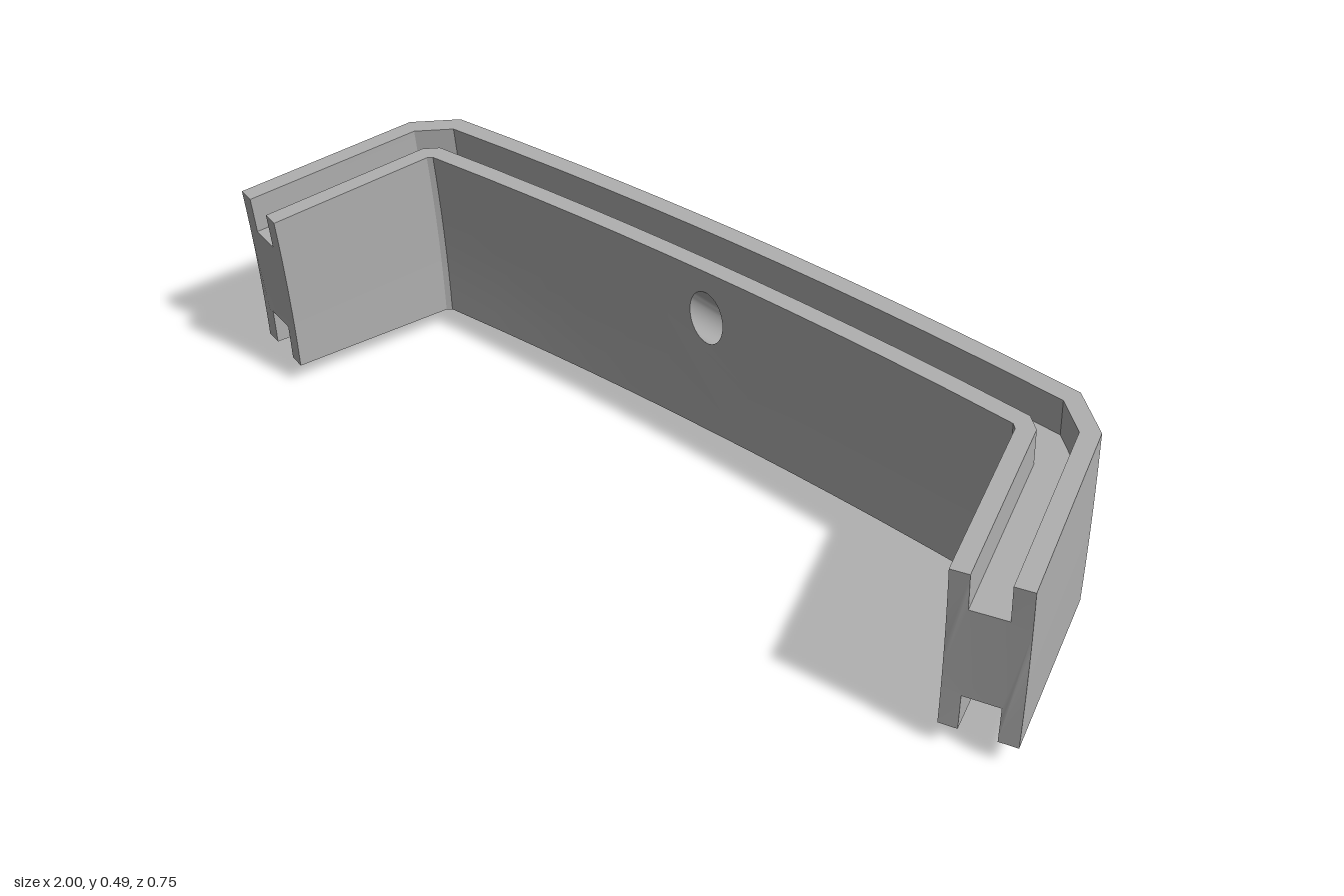
import * as THREE from 'three';
import { toCreasedNormals } from 'three/addons/utils/BufferGeometryUtils.js';

const BASE = 0.053, LIP = 0.085;           // underside height, groove depth
const HOLE_Y = 0.352, HOLE_RX = 0.043, HOLE_RY = 0.066;
const PANEL = 0.14;                        // half width of the drilled panel, as a share of the back wall

// the walls lean forward in a gentle curve as they rise
const lean = y => 0.018 * Math.pow(Math.max(0, (y - BASE) / 0.42), 2);
const topAt = z => 0.47 - 0.0886 * (z + 0.018);
const innerZ = x => -0.04 + 0.026 * (x / 0.745) ** 2;

// plan stations of one half: outer x, z and inner x, z
const half = [0, PANEL, 0.3, 0.45, 0.6, 0.8, 1].map(s =>
  [0.8 * s, -0.187 + 0.029 * s * s, 0.745 * s, innerZ(0.745 * s)]);
half.push([0.888, -0.084, 0.755, -0.005], [1, 0.318, 0.852, 0.357]);
const stations = [
  ...half.slice(1).reverse().map(([a, b, c, d]) => [-a, b, -c, d]), ...half];

// H-shaped cross-section: [share across, share of height, height offset]
const section = [];
const wall = (f, k0, d0, k1, d1, n) => {
  for (let i = 0; i <= n; i++) {
    const t = i / n;
    section.push([f, k0 + (k1 - k0) * t, d0 + (d1 - d0) * t]);
  }
};
const F1 = 0.26, F2 = 0.75, STEPS = 8;
wall(0, 0, 0, 1, 0, STEPS);
wall(F1, 1, 0, 1, -LIP, 3);
wall(F2, 1, -LIP, 1, 0, 3);
const innerStart = section.length;
wall(1, 1, 0, 0, 0, STEPS);
wall(F2, 0, 0, 0, LIP, 2);
wall(F1, 0, LIP, 0, 0, 2);

function sectionPoint([ox, oz, ix, iz], [f, k, d]) {
  const x = ox + (ix - ox) * f, z = oz + (iz - oz) * f;
  const y = BASE + (topAt(z) - BASE) * k + d;
  return new THREE.Vector3(x, y, z + lean(y));
}

function fromTriangles(points) {
  const g = new THREE.BufferGeometry().setFromPoints(points);
  return toCreasedNormals(g, 0.35);
}

function channelGeometry() {
  const rings = stations.map(s => section.map(p => sectionPoint(s, p)));
  const tris = [], n = section.length, mid = half.length - 1;
  for (let i = 0; i < rings.length - 1; i++) {
    for (let j = 0; j < n; j++) {
      // leave room for the drilled panel
      const central = i === mid - 1 || i === mid;
      if (central && j >= innerStart && j < innerStart + STEPS) continue;
      const k = (j + 1) % n;
      const a = rings[i][j], b = rings[i + 1][j], c = rings[i + 1][k], d = rings[i][k];
      tris.push(a, d, b, b, d, c);
    }
  }
  // end faces
  for (const ring of [rings[0], rings[rings.length - 1]]) {
    const flat = ring.map((p, j) => new THREE.Vector2(section[j][0] * 0.15, p.y));
    for (const face of THREE.ShapeUtils.triangulateShape(flat, [])) {
      const [a, b, c] = face.map(v => ring[v]);
      const facing = b.clone().sub(a).cross(c.clone().sub(a)).z;
      tris.push(...(facing > 0 ? [a, b, c] : [a, c, b]));
    }
  }
  return fromTriangles(tris);
}

// front panel of the back wall, pierced by the bore
function panelGeometry() {
  const w = 0.745 * PANEL, top = topAt(innerZ(w));
  const outline = [];
  for (let i = 0; i <= STEPS; i++) outline.push(new THREE.Vector2(w, BASE + (top - BASE) * i / STEPS));
  outline.push(new THREE.Vector2(0, topAt(innerZ(0))));
  for (let i = STEPS; i >= 0; i--) outline.push(new THREE.Vector2(-w, BASE + (top - BASE) * i / STEPS));
  const shape = new THREE.Shape(outline);
  shape.holes.push(new THREE.Path().absellipse(0, HOLE_Y, HOLE_RX, HOLE_RY, 0, Math.PI * 2, true));
  const g = new THREE.ShapeGeometry(shape, 20);
  const p = g.attributes.position;
  for (let i = 0; i < p.count; i++) p.setZ(i, innerZ(p.getX(i)) + lean(p.getY(i)));
  g.computeVertexNormals();
  return g;
}

// blind bore running down and back at 45 degrees
function boreGeometry() {
  const N = 40, depth = 0.2, tris = [];
  const mouth = i => {
    const t = i / N * Math.PI * 2;
    const x = HOLE_RX * Math.cos(t), y = HOLE_Y + HOLE_RY * Math.sin(t);
    return new THREE.Vector3(x, y, innerZ(x) + lean(y));
  };
  const sink = v => v.clone().add(new THREE.Vector3(0, -depth, -depth));
  const floor = sink(new THREE.Vector3(0, HOLE_Y, innerZ(0) + lean(HOLE_Y)));
  for (let i = 0; i < N; i++) {
    const a = mouth(i), b = mouth(i + 1), c = sink(a), d = sink(b);
    tris.push(a, c, b, b, c, d, floor, d, c);
    tris.splice(-3, 3, floor, c, d);
  }
  return fromTriangles(tris);
}

export function createModel() {
  const model = new THREE.Group();
  model.name = 'channelBracket';
  const grey = new THREE.MeshStandardMaterial({ color: 0xb0b0b0, side: THREE.DoubleSide });
  grey.name = 'grey';
  const add = (name, geometry, parent = model) => {
    const mesh = new THREE.Mesh(geometry, grey);
    mesh.name = name;
    parent.add(mesh);
    return mesh;
  };

  add('curvedChannel', channelGeometry());
  add('drilledPanel', panelGeometry());
  add('bore', boreGeometry());

  // slanted peg at the back
  const peg = new THREE.Group();
  peg.name = 'peg';
  const R = 0.085, L = 0.29;
  add('pegBarrel', new THREE.CylinderGeometry(R, R, L, 48, 1, true).translate(0, L / 2, 0), peg);
  add('pegEnd', new THREE.CircleGeometry(R, 48).rotateX(Math.PI / 2), peg);
  peg.rotation.x = Math.PI / 4;
  peg.position.set(0, 0.06, -0.313);
  model.add(peg);
  return model;
}
